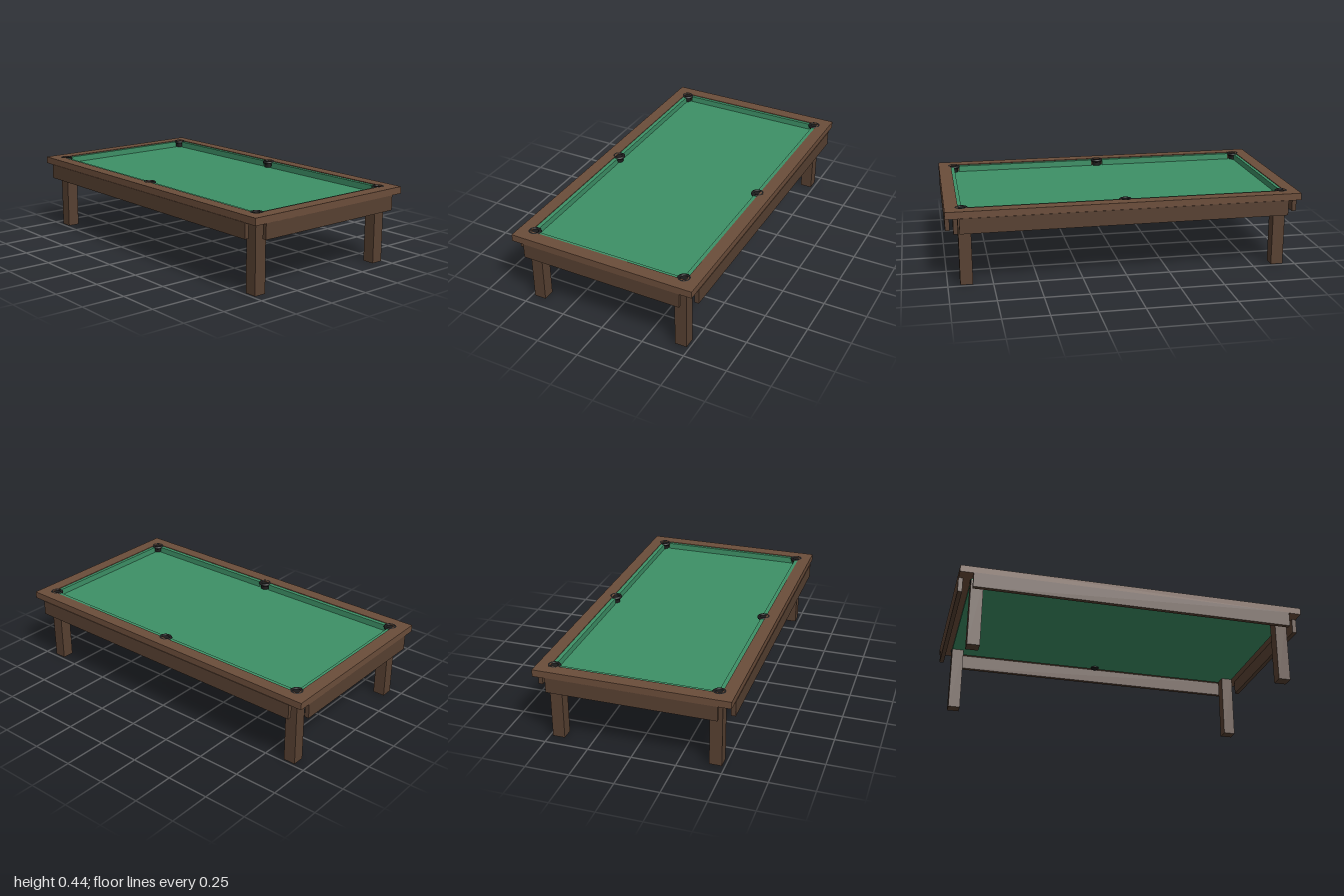
import * as THREE from 'three';

const mat = (color) => new THREE.MeshStandardMaterial({ color });

export function createModel() {
  const table = new THREE.Group();
  table.name = 'poolTable';
  const railWood = mat(0x6b4d3a);
  const bodyWood = mat(0x574031);
  const felt = mat(0x3d9066);
  const black = mat(0x1c1c1c);

  const add = (name, geometry, material, x, y, z) => {
    const mesh = new THREE.Mesh(geometry, material);
    mesh.name = name;
    mesh.position.set(x, y, z);
    table.add(mesh);
    return mesh;
  };
  const box = (name, material, w, h, d, x, y, z) =>
    add(name, new THREE.BoxGeometry(w, h, d), material, x, y, z);

  // Top rail: one flat frame around the playing surface
  const rectangle = (P, hw, hd) => new P([
    new THREE.Vector2(-hw, -hd), new THREE.Vector2(hw, -hd),
    new THREE.Vector2(hw, hd), new THREE.Vector2(-hw, hd),
  ]);
  const frame = rectangle(THREE.Shape, 1, 0.547);
  frame.holes.push(rectangle(THREE.Path, 0.925, 0.475));
  const railGeometry = new THREE.ExtrudeGeometry(frame, { depth: 0.04, bevelEnabled: false });
  railGeometry.rotateX(-Math.PI / 2);
  add('topRail', railGeometry, railWood, 0, 0.4, 0);

  // Felt bed
  box('bed', felt, 1.86, 0.014, 0.965, 0, 0.394, 0);

  for (const s of [-1, 1]) {
    // Aprons hanging below the rail, open at the corners
    box('longApron', bodyWood, 1.85, 0.087, 0.025, 0, 0.3585, s * 0.5375);
    box('endApron', bodyWood, 0.025, 0.087, 0.95, s * 0.9875, 0.3585, 0);

    // Cushions, interrupted at the pockets
    box('endCushion', felt, 0.019, 0.036, 0.85, s * 0.9155, 0.418, 0);
    for (const t of [-1, 1]) {
      box('longCushion', felt, 0.84, 0.036, 0.023, t * 0.455, 0.418, s * 0.4635);
      box('leg', bodyWood, 0.07, 0.39, 0.07, t * 0.896, 0.195, s * 0.448);
    }

    // Pockets: a cup through the bed with a rounded rim
    for (const x of [-0.909, 0, 0.909]) {
      const z = s * (x === 0 ? 0.463 : 0.458);
      add('pocketCup', new THREE.CylinderGeometry(0.026, 0.026, 0.055, 24), black, x, 0.4085, z);
      const rim = new THREE.TorusGeometry(0.029, 0.009, 10, 32);
      rim.rotateX(Math.PI / 2);
      add('pocketRim', rim, black, x, 0.433, z);
    }
  }
  return table;
}
